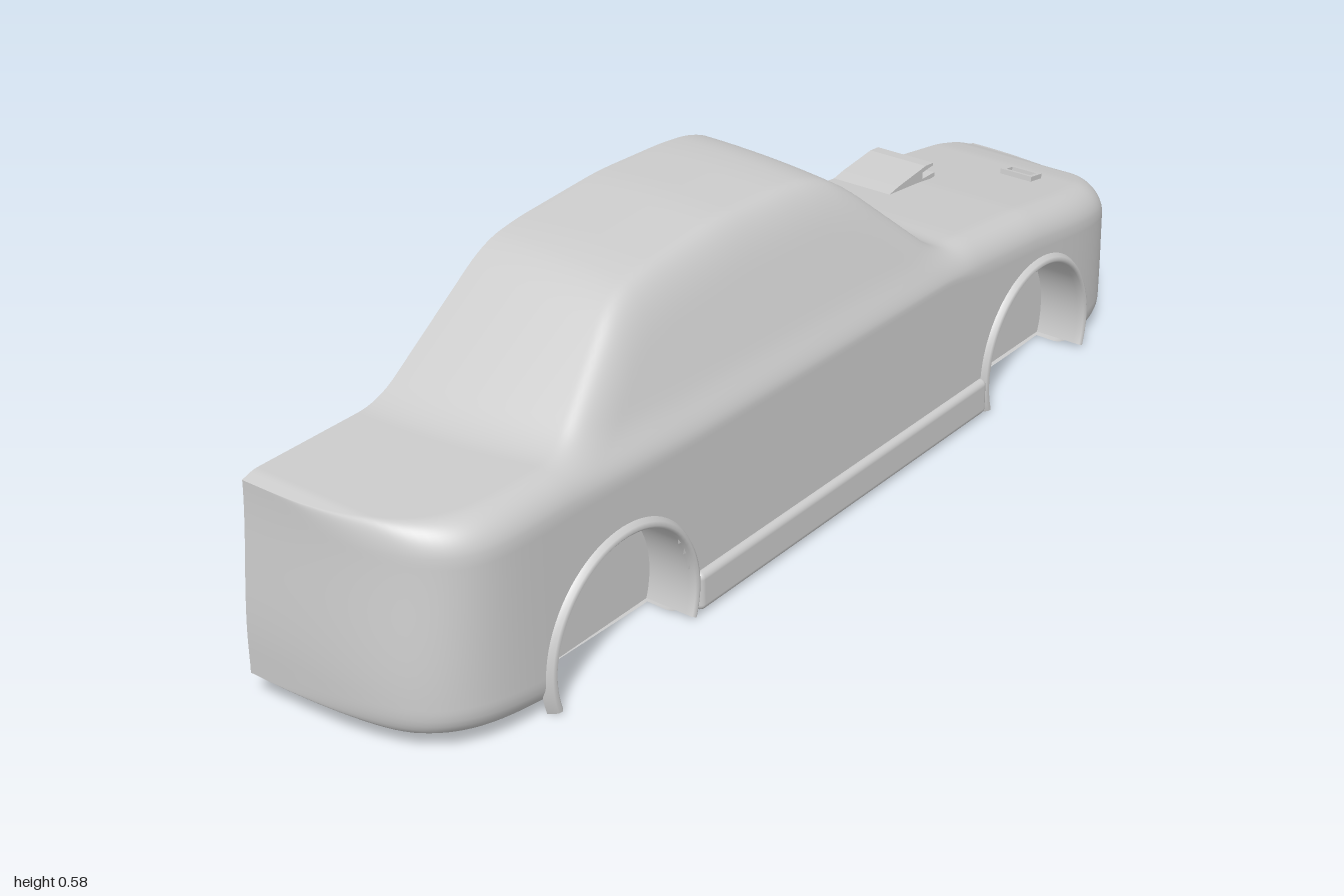
import * as THREE from 'three';
import { RoundedBoxGeometry } from 'three/addons/geometries/RoundedBoxGeometry.js';

const CUT = -0.2;                 // open plane of the half body
const WIDTH = 0.385;              // from the cut to the flank
const ARCH = { y: 0.065, r: 0.166, depth: 0.1, xs: [0.605, -0.585] };
const material = new THREE.MeshStandardMaterial({ color: 0xcccccc, side: THREE.DoubleSide });

function part(name, geometry) {
  const mesh = new THREE.Mesh(geometry, material);
  mesh.name = name;
  return mesh;
}

// Softened polyline y(x): linear interpolation averaged over a small window
function profile(points, blur) {
  const linear = (x) => {
    if (x <= points[0][0]) return points[0][1];
    for (let i = 1; i < points.length; i++) {
      const [x0, y0] = points[i - 1], [x1, y1] = points[i];
      if (x <= x1) return y0 + (y1 - y0) * (x - x0) / (x1 - x0);
    }
    return points[points.length - 1][1];
  };
  return (x) => {
    let sum = 0;
    for (let k = -4; k <= 4; k++) sum += linear(x + blur * k / 4);
    return sum / 9;
  };
}

const smoothMin = (a, b, k) => {
  const h = Math.max(k - Math.abs(a - b), 0) / k;
  return Math.min(a, b) - h * h * k / 4;
};
const smoothMax = (a, b, k) => -smoothMin(-a, -b, k);
const step = THREE.MathUtils.smoothstep;

const deck = profile([[-1, 0.375], [-0.985, 0.385], [-0.7, 0.386], [-0.4, 0.37], [0.1, 0.36], [0.4, 0.352],
  [0.6, 0.333], [0.85, 0.295], [0.94, 0.274], [0.98, 0.255], [1, 0.235]], 0.015);
const cabin = profile([[-0.9, 0.25], [-0.7, 0.385], [-0.45, 0.56], [-0.38, 0.574], [-0.17, 0.588],
  [0, 0.582], [0.08, 0.572], [0.14, 0.545], [0.34, 0.372], [0.5, 0.25]], 0.035);
const underside = profile([[-1, 0.055], [-0.96, 0.04], [-0.75, 0.012], [-0.4, 0.003], [0.9, 0.003],
  [0.97, 0.012], [1, 0.03]], 0.015);

// Height of the upper skin: deck with rounded edge, blended with the cabin
function skin(x, z, s, w, ry) {
  const rim = Math.min(0.06 / w, 0.35);
  const e = Math.max(0, (s - 1 + rim) / rim);
  const lower = deck(x) - ry * (1 - Math.sqrt(Math.max(0, 1 - e * e)));
  const roof = cabin(x) - 0.01 * ((z - CUT) / 0.2) ** 2;
  const flank = 0.505 - (z - 0.1) * 2.3;
  const upper = smoothMin(roof, flank, 0.07);
  return upper < lower - 0.03 ? lower : smoothMax(upper, lower, 0.03);
}

// Stations along the length: [x, width], with superelliptic plan corners
function stations() {
  const list = [];
  const corner = (start, size, sign, n) => {
    const k = Math.SQRT1_2 ** 0.5, out = [];
    for (let i = 1; i <= n; i++) {
      const t = k * i / n;
      out.push([start + sign * size * t, WIDTH * (1 - t ** 4) ** 0.25]);
    }
    for (let i = 1; i <= 26; i++) {
      const c = k * (1 - i / 26);
      out.push([start + sign * size * (1 - c ** 4) ** 0.25, Math.max(WIDTH * c, 0.0005)]);
    }
    return out;
  };
  list.push(...corner(-0.7, 0.3, -1, 24).reverse());
  for (let i = 0; i <= 110; i++) list.push([-0.7 + 1.3 * i / 110, WIDTH]);
  list.push(...corner(0.6, 0.4, 1, 32));
  return list;
}

// One cross-section from the roof centre, down the flank and back under the floor
function section(x, w) {
  const pts = [], ry = 0.06 * (0.4 + 0.6 * w / WIDTH);
  const bottom = underside(x), rb = 0.05 * (0.3 + 0.7 * w / WIDTH), rz = Math.min(0.045, w * 0.3);
  const edge = CUT + w;
  for (let j = 0; j <= 48; j++) {
    const s = 1 - (1 - j / 48) ** 1.5, z = CUT + w * s;
    pts.push([x, skin(x, z, s, w, ry), z]);
  }
  const top = pts[48][1];
  for (let j = 1; j <= 32; j++) pts.push([x, top + (bottom + rb - top) * j / 32, edge]);
  for (let j = 1; j <= 6; j++) {
    const a = j / 6 * Math.PI / 2;
    pts.push([x, bottom + rb * (1 - Math.sin(a)), edge - rz * (1 - Math.cos(a))]);
  }
  for (let j = 1; j <= 18; j++) pts.push([x, bottom + 0.008 * j / 18, edge - rz + (rz - w) * j / 18]);
  return pts;
}

function shape(p) {
  let [x, y, z] = p;
  // lean of the tail and nose, and the recessed grille panel
  if (x < -0.8) x += 0.02 * step(-x, 0.8, 1) * step(y, 0.1, 0.39);
  if (x > 0.85) {
    x -= 0.018 * step(x, 0.85, 1) * step(y, 0.1, 0.28);
    x -= 0.03 * step(x, 0.93, 0.96) * step(y, 0.043, 0.058) * step(-y, -0.16, -0.145) * step(-z, 0.01, 0.03);
  }
  // draw vertices close to a wheel arch onto its circle
  if (z > ARCH.depth) for (const cx of ARCH.xs) {
    const d = Math.hypot(x - cx, y - ARCH.y);
    if (Math.abs(d - ARCH.r) < 0.006) {
      x = cx + (x - cx) * ARCH.r / d;
      y = ARCH.y + (y - ARCH.y) * ARCH.r / d;
    }
  }
  return [x, y, z];
}

function bodyGeometry() {
  const rings = stations().map(([x, w]) => section(x, w).map(shape));
  const rows = rings[0].length, points = rings.flat(), index = [];
  const inArch = (ids) => {
    const [x, y, z] = [0, 1, 2].map((k) => ids.reduce((sum, i) => sum + points[i][k], 0) / 3);
    return z > ARCH.depth && ARCH.xs.some((cx) => Math.hypot(x - cx, y - ARCH.y) < ARCH.r - 0.001);
  };
  for (let i = 0; i < rings.length - 1; i++) for (let j = 0; j < rows - 1; j++) {
    const a = i * rows + j, c = a + rows;
    for (const tri of [[a, a + 1, c], [a + 1, c + 1, c]]) if (!inArch(tri)) index.push(...tri);
  }
  const g = new THREE.BufferGeometry();
  g.setAttribute('position', new THREE.Float32BufferAttribute(points.flat(), 3));
  g.setIndex(index);
  g.computeVertexNormals();
  return g;
}

// Flared lip and tunnel swept around the arch, closed by an inner wall
function wheelArch(name, cx) {
  const group = new THREE.Group();
  group.name = name;
  const drop = Math.asin(0.055 / ARCH.r);
  const lip = [[0.186, 0.178], [0.182, 0.186], [0.177, 0.194], [0.171, 0.197], [0.166, 0.193], [0.165, 0.18],
    [0.165, ARCH.depth]].map(([r, z]) => new THREE.Vector2(r, z));
  const sweep = new THREE.LatheGeometry(lip, 48, Math.PI / 2 - drop, Math.PI + 2 * drop);
  sweep.rotateX(Math.PI / 2);
  const outline = new THREE.Shape();
  outline.absarc(0, 0, 0.165, -drop, Math.PI + drop, false);
  const wall = new THREE.ShapeGeometry(outline, 40).translate(0, 0, ARCH.depth);
  group.add(part('archFlare', sweep), part('archInnerWall', wall));
  group.position.set(cx, ARCH.y, 0);
  return group;
}

// Wedge scoop with an open mouth facing forward
function hoodScoop() {
  const side = new THREE.Shape([[0.48, 0.338], [0.53, 0.348], [0.62, 0.359], [0.645, 0.357], [0.645, 0.352],
    [0.61, 0.349], [0.61, 0.336], [0.65, 0.336], [0.652, 0.328], [0.6, 0.325]].map(([x, y]) => new THREE.Vector2(x, y)));
  const g = new THREE.ExtrudeGeometry(side, { depth: 0.125, bevelEnabled: false });
  return part('hoodScoop', g.translate(0, 0, CUT));
}

// Small framed vent lying on the bonnet
function hoodVent() {
  const rect = (P, w, h) => new P([[-w, -h], [w, -h], [w, h], [-w, h]].map(([x, y]) => new THREE.Vector2(x, y)));
  const frame = rect(THREE.Shape, 0.019, 0.034);
  frame.holes.push(rect(THREE.Path, 0.011, 0.026));
  const g = new THREE.ExtrudeGeometry(frame, { depth: 0.012, bevelEnabled: false });
  g.rotateX(-Math.PI / 2).rotateZ(-0.16);
  const mesh = part('hoodVent', g);
  mesh.position.set(0.8, 0.3, 0.023);
  return mesh;
}

export function createModel() {
  const model = new THREE.Group();
  model.name = 'halfCarBody';
  model.add(part('bodyShell', bodyGeometry()));
  model.add(wheelArch('frontWheelArch', ARCH.xs[0]), wheelArch('rearWheelArch', ARCH.xs[1]));
  const sill = part('sill', new RoundedBoxGeometry(0.84, 0.07, 0.04, 3, 0.012));
  sill.position.set(0.01, 0.043, 0.177);
  model.add(sill, hoodScoop(), hoodVent());
  return model;
}
